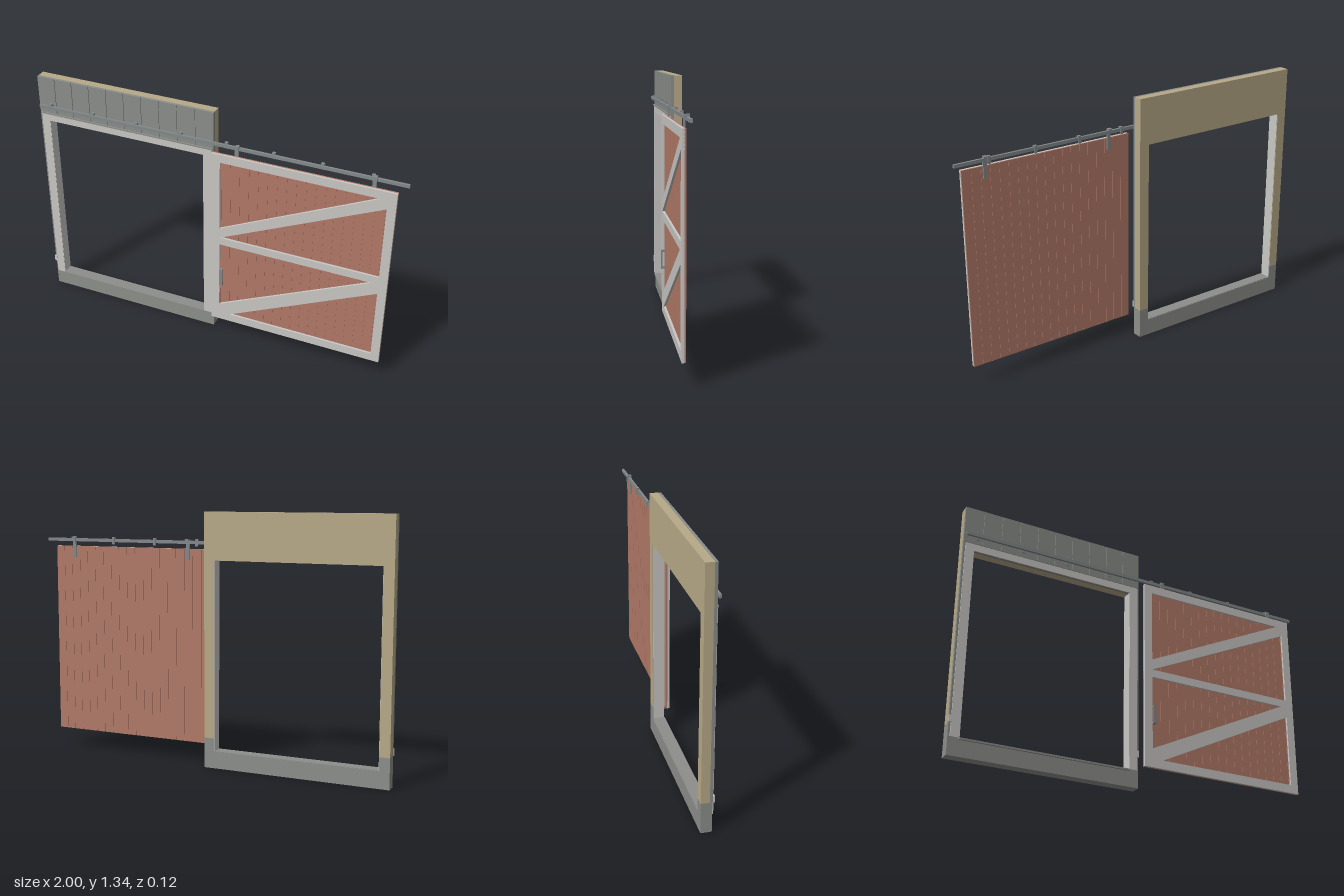
import * as THREE from 'three';

const mat = (name, color) => Object.assign(new THREE.MeshStandardMaterial({ color }), { name });

export function createModel() {
  const concrete = mat('concrete grey', 0x8d8f8b);
  const siding = mat('siding grey', 0x8b8e8a);
  const trim = mat('light trim', 0xc9c8c5);
  const red = mat('barn red', 0xb27a68);
  const tan = mat('tan wall', 0xb8aa88);
  const steel = mat('steel grey', 0x83898b);

  const root = new THREE.Group();
  root.name = 'slidingDoorWall';
  const group = (name) => {
    const g = new THREE.Group();
    g.name = name;
    root.add(g);
    return g;
  };
  // box given by its limits on each axis
  const box = (parent, name, m, x0, x1, y0, y1, z0, z1) => {
    const mesh = new THREE.Mesh(new THREE.BoxGeometry(x1 - x0, y1 - y0, z1 - z0), m);
    mesh.position.set((x0 + x1) / 2, (y0 + y1) / 2, (z0 + z1) / 2);
    mesh.name = name;
    parent.add(mesh);
    return mesh;
  };

  // wall core around the opening, on a concrete footing
  const wall = group('wall');
  const back = -0.058;
  box(wall, 'footing', concrete, -1, 0, 0, 0.09, back, -0.003);
  for (const [a, b] of [[-1, -0.945], [-0.055, 0]]) {
    box(wall, 'footingPost', concrete, a, b, 0.09, 0.16, back, -0.003);
    box(wall, 'wallPost', tan, a, b, 0.16, 1.09, back, -0.015);
    box(wall, 'sidingPost', siding, a, b, 0.16, 1.09, -0.015, 0);
  }
  box(wall, 'wallHeader', tan, -1, 0, 1.09, 1.337, back, -0.015);

  // vertical siding boards over the header, with narrow grooves
  box(wall, 'sidingBacking', siding, -1, 0, 1.09, 1.337, -0.015, -0.005);
  for (let i = 0; i < 10; i++) {
    const x = -1 + i * 0.1;
    box(wall, 'sidingBoard', siding, x + (i ? 0.002 : 0), x + (i < 9 ? 0.098 : 0.1), 1.09, 1.337, -0.005, 0);
  }

  // casing, jambs, sill and guide blocks of the opening
  const casing = group('openingTrim');
  box(casing, 'sideCasing', trim, -0.99, -0.945, 0.09, 1.09, -0.002, 0.005);
  box(casing, 'sideCasing', trim, -0.055, -0.01, 0.09, 1.09, -0.002, 0.005);
  box(casing, 'topCasing', trim, -0.99, -0.01, 1.09, 1.128, -0.002, 0.005);
  box(casing, 'dripCap', siding, -0.995, -0.005, 1.128, 1.135, 0, 0.008);
  box(casing, 'jamb', trim, -0.947, -0.943, 0.09, 1.09, back + 0.003, 0.004);
  box(casing, 'jamb', trim, -0.057, -0.053, 0.09, 1.09, back + 0.003, 0.004);
  box(casing, 'sill', concrete, -0.945, -0.055, 0.083, 0.092, -0.055, 0.007);
  box(casing, 'guideBlock', trim, -1.003, -0.985, 0.16, 0.195, -0.001, 0.008);
  box(casing, 'guideBlock', trim, -0.015, 0, 0.16, 0.195, -0.001, 0.008);

  // plank door panel with narrow grooves
  const door = group('slidingDoor');
  const [x0, x1, y0, y1] = [0.01, 0.955, 0.105, 1.14];
  box(door, 'doorCore', red, x0, x1, y0, y1, 0.032, 0.0365);
  const n = 19, w = (x1 - x0) / n;
  for (let i = 0; i < n; i++) {
    const x = x0 + i * w;
    box(door, 'doorPlank', red, x + (i ? 0.001 : 0), x + w - (i < n - 1 ? 0.001 : 0), y0, y1, 0.03, 0.0385);
  }

  // door frame and diagonal braces
  const f0 = 0.038, f1 = 0.05;
  box(door, 'leftStile', trim, x0, 0.055, y0, y1, f0, f1);
  box(door, 'rightStile', trim, 0.91, x1, y0, y1, f0, f1);
  for (const [a, b] of [[y0, 0.15], [0.6, 0.642], [1.095, y1]])
    box(door, 'doorRail', trim, 0.055, 0.91, a, b, f0, f1);
  for (const points of [
    [[0.055, 0.642], [0.91, 1.045], [0.91, 1.095], [0.875, 1.095], [0.055, 0.7]],
    [[0.055, 0.15], [0.115, 0.15], [0.91, 0.542], [0.91, 0.6], [0.875, 0.6], [0.055, 0.205]],
  ]) {
    const shape = new THREE.Shape(points.map(([x, y]) => new THREE.Vector2(x, y)));
    const brace = new THREE.Mesh(
      new THREE.ExtrudeGeometry(shape, { depth: f1 - f0, bevelEnabled: false }), trim);
    brace.position.z = f0;
    brace.name = 'diagonalBrace';
    door.add(brace);
  }

  // pull handle
  box(door, 'handleGrip', steel, 0.056, 0.074, 0.34, 0.44, 0.053, 0.059);
  for (const y of [0.34, 0.428])
    box(door, 'handleMount', steel, 0.058, 0.072, y, y + 0.012, 0.038, 0.054);

  // overhead track with brackets and door hangers
  const track = group('track');
  box(track, 'trackRail', steel, -0.99, 1, 1.167, 1.184, 0.009, 0.021);
  for (let i = 0; i < 8; i++) {
    const x = -0.927 + i * 0.25;
    box(track, 'bracketPlate', steel, x - 0.008, x + 0.008, 1.156, 1.194, 0, 0.005);
    box(track, 'bracketArm', steel, x - 0.008, x + 0.008, 1.184, 1.194, 0.004, 0.016);
  }
  for (const x of [0.135, 0.835]) {
    box(track, 'hangerStrap', steel, x - 0.01, x + 0.01, 1.08, 1.186, 0.022, 0.03);
    box(track, 'hangerTop', steel, x - 0.01, x + 0.01, 1.184, 1.192, 0.008, 0.028);
  }
  return root;
}
